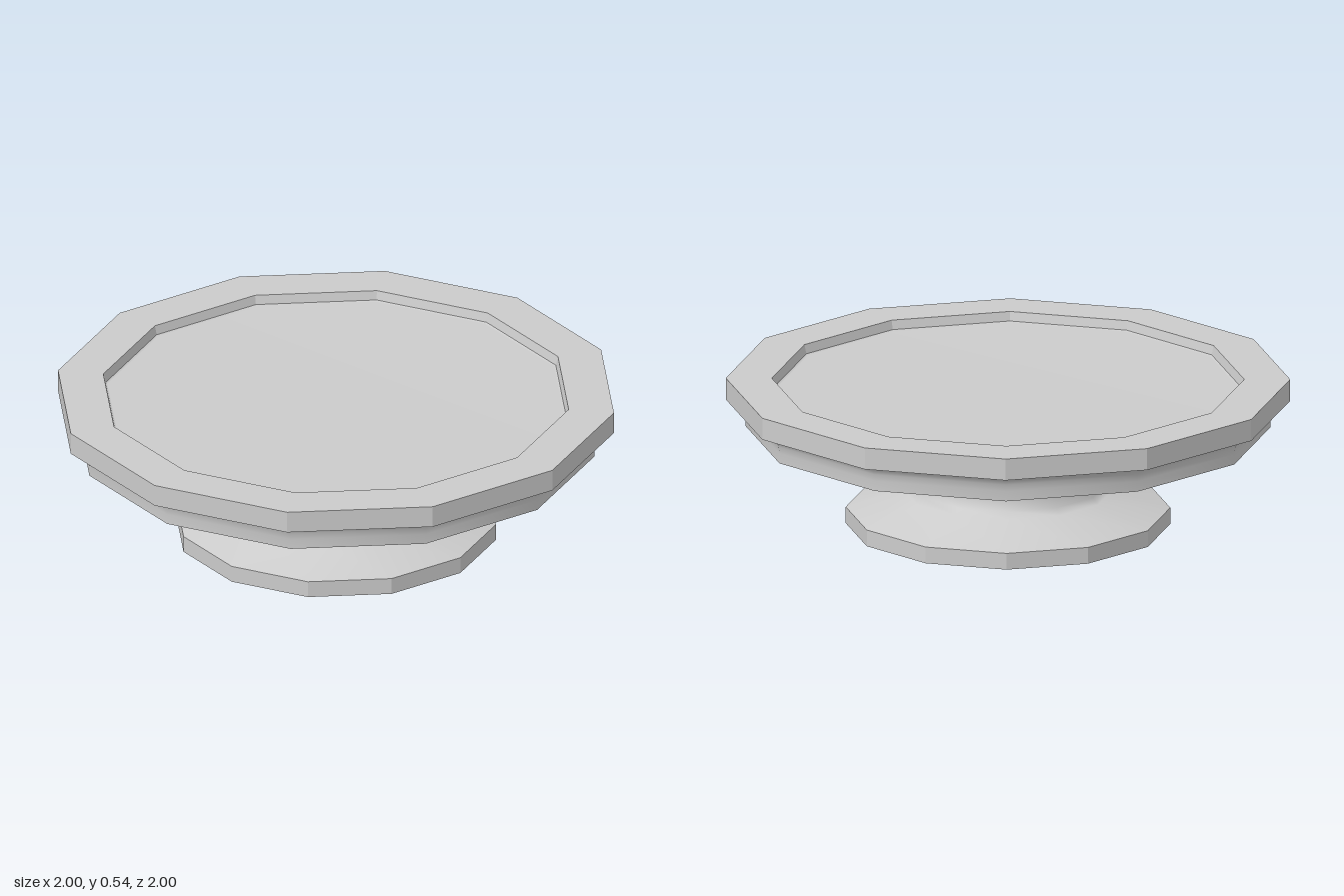
import * as THREE from 'three';

const SIDES = 12;

// Smooth or faceted band turned around the y axis from [radius, height] points
function band(name, points, flat = false) {
  const profile = points.map(([r, y]) => new THREE.Vector2(r, y));
  let geometry = new THREE.LatheGeometry(profile, SIDES);
  if (flat) {
    geometry = geometry.toNonIndexed();
    geometry.computeVertexNormals();
  }
  const mesh = new THREE.Mesh(geometry, new THREE.MeshStandardMaterial({ color: 0xcccccc }));
  mesh.name = name;
  return mesh;
}

function part(name, ...meshes) {
  const group = new THREE.Group();
  group.name = name;
  group.add(...meshes);
  return group;
}

export function createModel() {
  const model = new THREE.Group();
  model.name = 'footedDish';

  // Foot with a flat underside and upright edge
  model.add(part('foot',
    band('footUnderside', [[0, 0], [0.575, 0]], true),
    band('footEdge', [[0.575, 0], [0.575, 0.06]], true)));

  // Sloping foot top, waisted stem and tray underside in one smooth sweep
  model.add(band('stemAndUnderside', [
    [0.575, 0.06], [0.37, 0.125], [0.35, 0.148], [0.337, 0.19], [0.333, 0.25],
    [0.336, 0.29], [0.345, 0.325], [0.36, 0.347], [0.385, 0.358], [0.93, 0.358]]));

  // Coved tray side
  model.add(band('traySide', [
    [0.93, 0.358], [0.93, 0.395], [0.934, 0.42], [0.942, 0.437], [0.955, 0.448]]));

  // Overhanging rim
  model.add(part('rim',
    band('rimUnderside', [[0.955, 0.448], [1, 0.456]], true),
    band('rimEdge', [[1, 0.456], [1, 0.535]], true),
    band('rimTop', [[1, 0.535], [0.837, 0.535]], true),
    band('rimInnerWall', [[0.837, 0.535], [0.829, 0.502]], true)));

  // Flat dish floor, softened by a narrow slope at its edge
  model.add(band('dishFloor', [[0.829, 0.502], [0.821, 0.497], [0, 0.497]]));

  return model;
}
